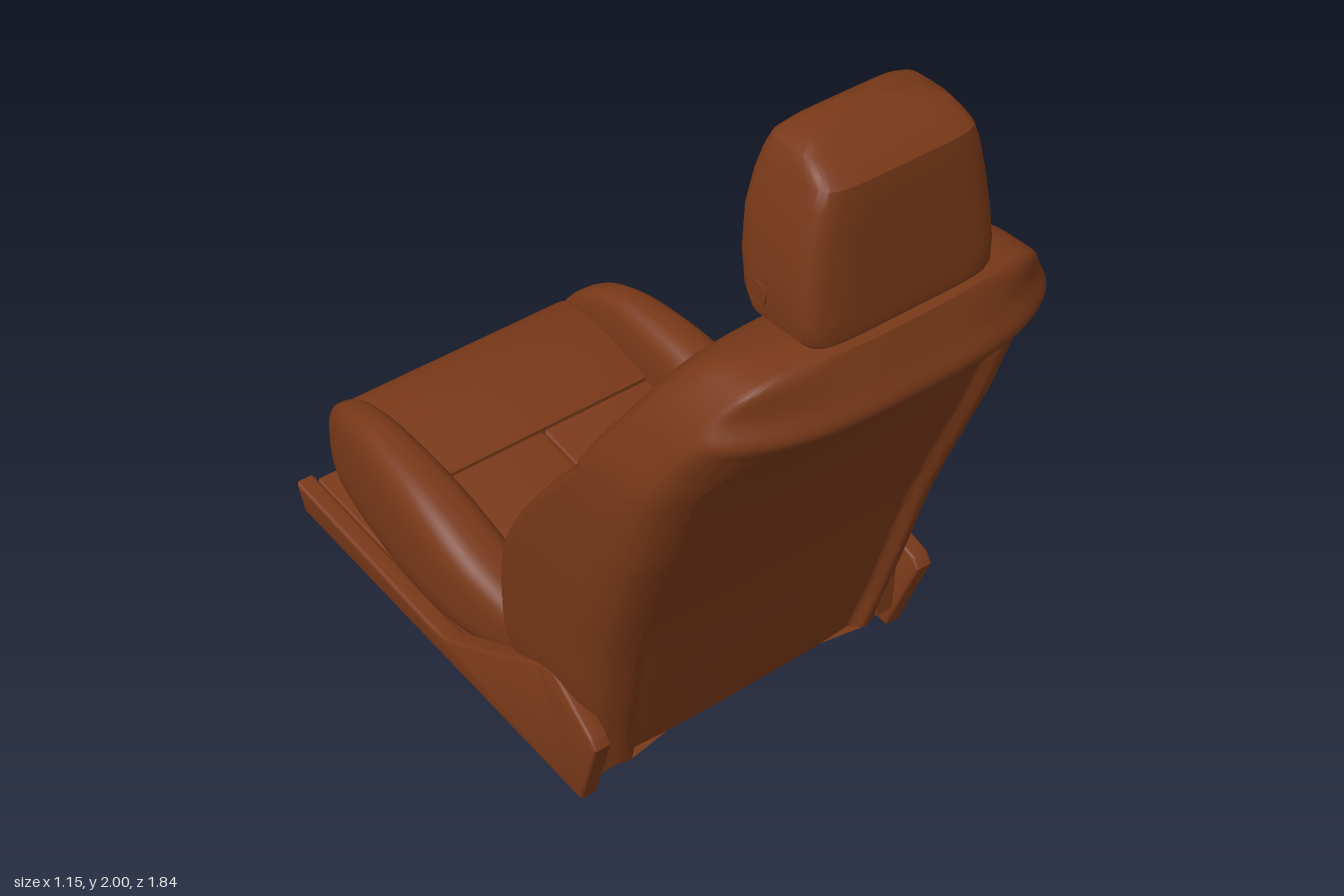
import * as THREE from 'three';
import { toCreasedNormals } from 'three/addons/utils/BufferGeometryUtils.js';

const leather = new THREE.MeshStandardMaterial({ color: 0x783818 });
const { smoothstep, lerp, clamp } = THREE.MathUtils;

// Smooth interpolation through [key, value] pairs
function track(pts) {
  const slope = (i) => {
    const a = pts[Math.max(i - 1, 0)], b = pts[Math.min(i + 1, pts.length - 1)];
    return (b[1] - a[1]) / (b[0] - a[0]);
  };
  return (k) => {
    let i = 0;
    while (i < pts.length - 2 && k > pts[i + 1][0]) i++;
    const [k0, a] = pts[i], [k1, b] = pts[i + 1], h = k1 - k0;
    const t = clamp((k - k0) / h, 0, 1), t2 = t * t, t3 = t2 * t;
    return a * (2 * t3 - 3 * t2 + 1) + b * (3 * t2 - 2 * t3)
      + h * (slope(i) * (t3 - 2 * t2 + t) + slope(i + 1) * (t3 - t2));
  };
}

// Closed, capped skin over equal-length rings of [x, y, z]
function loft(rings, crease = 0.7) {
  const n = rings[0].length, m = rings.length, pos = rings.flat(2), idx = [];
  for (let r = 0; r < m - 1; r++) for (let i = 0; i < n; i++) {
    const a = r * n + i, b = r * n + (i + 1) % n;
    idx.push(a, b, a + n, b, b + n, a + n);
  }
  for (const r of [0, m - 1]) {
    const c = pos.length / 3;
    for (let k = 0; k < 3; k++) pos.push(rings[r].reduce((s, p) => s + p[k], 0) / n);
    for (let i = 0; i < n; i++) {
      const a = r * n + i, b = r * n + (i + 1) % n;
      idx.push(c, ...(r ? [a, b] : [b, a]));
    }
  }
  // Turn the skin outward if its volume is negative
  let vol = 0;
  const p = (i) => new THREE.Vector3().fromArray(pos, i * 3);
  for (let i = 0; i < idx.length; i += 3) vol += p(idx[i]).dot(p(idx[i + 1]).cross(p(idx[i + 2])));
  if (vol < 0) idx.reverse();
  const g = new THREE.BufferGeometry();
  g.setAttribute('position', new THREE.Float32BufferAttribute(pos, 3));
  g.setIndex(idx);
  return toCreasedNormals(g, crease);
}

// Superellipse outline, returned as [u, v] in -1..1
function superellipse(n, e) {
  return Array.from({ length: n }, (_, i) => {
    const a = (i / n) * Math.PI * 2, c = Math.cos(a), s = Math.sin(a);
    return [Math.sign(c) * Math.abs(c) ** (2 / e), Math.sign(s) * Math.abs(s) ** (2 / e)];
  });
}

// Side profile of [z, y] points given thickness along x; shift(y) moves points sideways
function slab(pts, width, bevel, shift = () => 0) {
  const g = new THREE.ExtrudeGeometry(new THREE.Shape(pts.map((p) => new THREE.Vector2(...p))), {
    depth: width - 2 * bevel, bevelThickness: bevel, bevelSize: bevel, bevelOffset: -bevel, bevelSegments: 4,
  });
  g.translate(0, 0, bevel - width / 2).rotateY(-Math.PI / 2);
  const p = g.attributes.position;
  for (let i = 0; i < p.count; i++) p.setX(i, p.getX(i) + shift(p.getY(i)));
  return toCreasedNormals(g, 0.6);
}

// Backrest: horizontal sections with a sunken arched panel front and rear
function backrestGeometry() {
  const W = track([[0.06, 0.445], [0.3, 0.52], [0.5, 0.545], [0.8, 0.57], [1.15, 0.57], [1.3, 0.535],
    [1.4, 0.495], [1.48, 0.44], [1.515, 0.395], [1.532, 0.33]]);
  const front = track([[0.06, 0.25], [0.2, 0.12], [0.3, 0.045], [0.45, 0.03], [0.65, 0.07], [0.87, 0.19],
    [1.08, 0.345], [1.2, 0.415], [1.35, 0.51], [1.45, 0.573], [1.505, 0.635], [1.532, 0.73]]);
  const panel = track([[0.06, 0.25], [0.2, 0.2], [0.3, 0.185], [0.65, 0.3], [1.05, 0.445], [1.2, 0.495],
    [1.35, 0.56], [1.532, 0.73]]);
  const rear = track([[0.06, 0.385], [0.3, 0.445], [0.55, 0.51], [0.8, 0.6], [1, 0.68], [1.13, 0.748],
    [1.25, 0.83], [1.33, 0.887], [1.385, 0.923], [1.45, 0.897], [1.532, 0.862]]);
  // Seam line along the flank, and half width of the rear panel
  const seam = track([[0.06, 0.29], [0.3, 0.1], [0.45, 0.095], [0.75, 0.165], [0.97, 0.32], [1.1, 0.44],
    [1.4, 0.68], [1.532, 0.8]]);
  const rearPanel = track([[0.06, 0.39], [0.2, 0.42], [0.6, 0.455], [1.1, 0.472], [1.532, 0.472]]);
  const archDistance = (x, y, w, top, r) => {
    const a = Math.abs(x) - w + r, b = y - top + r;
    return Math.hypot(Math.max(a, 0), Math.max(b, 0)) + Math.min(Math.max(a, b), 0) - r;
  };
  const groove = (d, depth) => depth * Math.exp(-((d / 0.013) ** 2));
  const N = 160, rows = 130, rings = [];
  for (let r = 0; r <= rows; r++) {
    const y = 0.06 + 1.472 * (r / rows), w = W(y), zf = front(y), zb = rear(y), mid = seam(y), ring = [];
    // The rear shoulders sweep forward toward the flanks
    const sweep = 0.015 + 0.1 * smoothstep(y, 0.9, 1.35) * (1 - 0.85 * smoothstep(y, 1.4, 1.532));
    for (let side = 0; side < 2; side++) for (let i = 0; i < N; i++) {
      const x = w * Math.sin((i / N - 0.5) * Math.PI) * (side ? -1 : 1);
      const e = Math.min(Math.abs(x) / w, 1), power = side ? 8 : 5;
      let z;
      if (side) {
        const d = archDistance(x, y, rearPanel(y), 1.335, 0.18);
        z = zb - 0.035 * smoothstep(-d, 0, 0.045) - sweep * e ** 3;
      } else {
        const d = archDistance(x, y, 0.33 + 0.03 * y, 1.2, 0.2);
        z = lerp(panel(y), zf, smoothstep(d, -0.02, 0.13)) + groove(d, 0.013);
        if (d < 0) z += groove(x, 0.006);
        else if (y < 1.2) z += groove(y - 0.99 - (Math.abs(x) - 0.36) * 0.6, 0.014);
      }
      ring.push([x, y, mid + (z - mid) * (1 - e ** power) ** (1 / power)]);
    }
    rings.push(ring);
  }
  return loft(rings, 0.9);
}

// Headrest: rounded sections that narrow toward a crown
function headrestGeometry() {
  const rows = [[1.558, 0.258, 0.65, 0.858], [1.57, 0.27, 0.615, 0.86], [1.62, 0.277, 0.595, 0.856],
    [1.7, 0.272, 0.577, 0.848], [1.8, 0.256, 0.567, 0.84], [1.88, 0.236, 0.573, 0.835], [1.925, 0.221, 0.581, 0.828],
    [1.945, 0.213, 0.588, 0.8], [1.968, 0.2, 0.598, 0.755], [1.985, 0.16, 0.612, 0.715], [1.995, 0.09, 0.628, 0.69],
    [2, 0.03, 0.645, 0.67]];
  return loft(rows.map(([y, w, f, b]) => superellipse(80, 6).map(([u, v]) => [u * w, y, (f + b) / 2 + v * (b - f) / 2])), 0.6);
}

// Seat bolster: oval sections running from front to back, on side s
function bolsterGeometry(s) {
  const top = track([[-0.9, 0.37], [-0.86, 0.425], [-0.78, 0.487], [-0.7, 0.515], [-0.6, 0.525], [-0.4, 0.505],
    [-0.25, 0.46], [-0.1, 0.385], [0.05, 0.295], [0.15, 0.25]]);
  const bottom = track([[-0.9, 0.25], [-0.8, 0.2], [-0.25, 0.15], [0.15, 0.17]]);
  const outer = track([[-0.9, 0.4], [-0.86, 0.435], [-0.75, 0.475], [-0.5, 0.518], [-0.3, 0.533], [-0.15, 0.52],
    [0, 0.475], [0.15, 0.42]]);
  const rings = [];
  for (let i = 0; i <= 48; i++) {
    const z = -0.9 + 1.05 * (i / 48), b = bottom(z), h = top(z) - b, o = outer(z), inner = 0.335 - 0.028 * z;
    rings.push(superellipse(40, 3).map(([u, v]) => [s * ((o + inner) / 2 + u * (o - inner) / 2), b + h * (v + 1) / 2, z]));
  }
  return loft(rings);
}

export function createModel() {
  const seat = new THREE.Group();
  seat.name = 'carSeat';
  const add = (name, geometry, x = 0, y = 0, z = 0) => {
    const mesh = new THREE.Mesh(geometry, leather);
    mesh.name = name;
    mesh.position.set(x, y, z);
    seat.add(mesh);
    return mesh;
  };

  add('backrest', backrestGeometry());
  add('headrest', headrestGeometry());
  add('headrestCollar', new THREE.BoxGeometry(0.34, 0.02, 0.08), 0, 1.53, 0.79);

  // Front cushion with a rounded nose
  const nose = new THREE.SplineCurve([[-0.84, 0.21], [-0.895, 0.25], [-0.92, 0.32], [-0.9, 0.38], [-0.84, 0.412],
    [-0.7, 0.412], [-0.495, 0.368]].map((p) => new THREE.Vector2(...p))).getPoints(30).map((p) => [p.x, p.y]);
  add('frontCushion', slab([[-0.495, 0.19], ...nose], 0.745, 0.02));

  const railProfile = [[0.355, 0], [0.44, 0.24], [0.42, 0.27], [0.25, 0.355], [0.19, 0.34], [0.04, 0.27],
    [-0.18, 0.155], [-0.25, 0.155], [-0.86, 0.23], [-0.83, 0.15]];
  const panelHalf = slab([[0.28, 0.14], [0.28, 0.23], [0, 0.282], [-0.49, 0.362], [-0.49, 0.18]], 0.355, 0.01);
  for (const [side, s] of [['left', 1], ['right', -1]]) {
    add(side + 'SeatBolster', bolsterGeometry(s));
    add(side + 'SeatPanel', panelHalf, s * 0.1775);
    // Rail leans inward at its foot and at its peak
    add(side + 'SideRail', slab(railProfile, 0.055, 0.01, (y) => (y < 0.1 || y > 0.3 ? -0.018 * s : 0)), s * 0.522);
    add(side + 'HingeBracket', new THREE.BoxGeometry(0.06, 0.2, 0.1), s * 0.46, 0.17, 0.32);
    add(side + 'HeadrestButton', new THREE.CylinderGeometry(0.03, 0.03, 0.03, 24), s * 0.266, 1.63, 0.68).rotation.z = Math.PI / 2;
  }

  // Tray under the cushion
  add('basePlate', slab([[-0.12, 0.075], [-0.12, 0.175], [-0.25, 0.165], [-0.84, 0.225], [-0.825, 0.155]], 0.99, 0.008));
  return seat;
}
